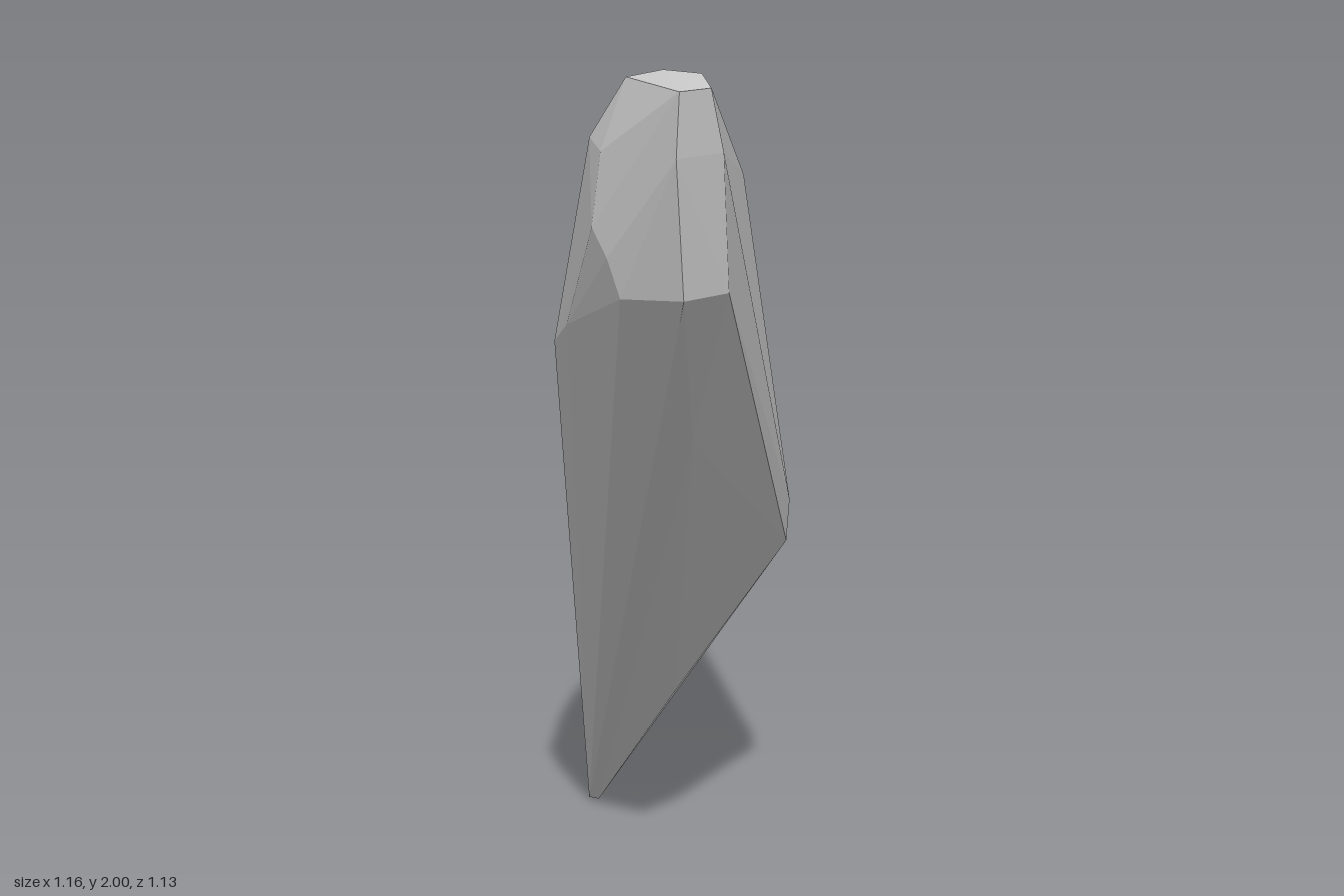
import * as THREE from 'three';
import { ConvexGeometry } from 'three/addons/geometries/ConvexGeometry.js';

export function createModel() {
  const group = new THREE.Group();
  group.name = 'rockShard';
  const v = (x, y, z) => new THREE.Vector3(x, y, z);

  // Flat facet at the low end, given as [y, z] on one plane
  const lowEnd = [[0.01, -0.345], [0.63, -0.345], [0.54, -0.43], [0.4, -0.482],
    [0.25, -0.475], [0.12, -0.45], [0.01, -0.37]].map(([y, z]) => v(-0.58, y, z));

  // Tip and lower edge
  const lowerEdge = [v(-0.57, 0, -0.37), v(-0.54, 0.04, -0.355),
    v(-0.28, 0.38, -0.35), v(0.33, 1.24, 0.25)];

  // Broad rear face
  const rear = [v(-0.02, 0.8, -0.46), v(-0.02, 0.9, -0.47),
    v(-0.26, 1.64, -0.565), v(-0.29, 1.635, -0.565)];

  // Rounded shoulder running from the rear to the front
  const shoulder = [v(-0.3, 1.63, -0.38), v(-0.29, 1.6, -0.18), v(-0.21, 1.55, 0.02),
    v(-0.17, 1.44, 0.115), v(-0.04, 1.4, 0.28), v(0.1, 1.47, 0.38),
    v(0.19, 1.86, 0.4)];

  // Blunt upper end
  const upperEnd = [v(0.58, 1.99, 0.56), v(0.58, 1.99, 0.475), v(0.58, 1.87, 0.44),
    v(0.58, 1.87, 0.568), v(0.56, 1.6, 0.4), v(0.555, 1.6, 0.52),
    v(0.4, 1.585, 0.53), v(0.37, 1.66, 0.535), v(0.31, 1.71, 0.515),
    v(0.3, 1.85, 0.48), v(0.3, 1.985, 0.41), v(0.37, 1.99, 0.43),
    v(0.36, 2, 0.37), v(0.46, 2, 0.37)];

  const geometry = new ConvexGeometry(
    [...lowEnd, ...lowerEdge, ...rear, ...shoulder, ...upperEnd]);
  const shard = new THREE.Mesh(geometry,
    new THREE.MeshStandardMaterial({ color: 0xcccccc, flatShading: true }));
  shard.name = 'shard';
  group.add(shard);
  return group;
}
